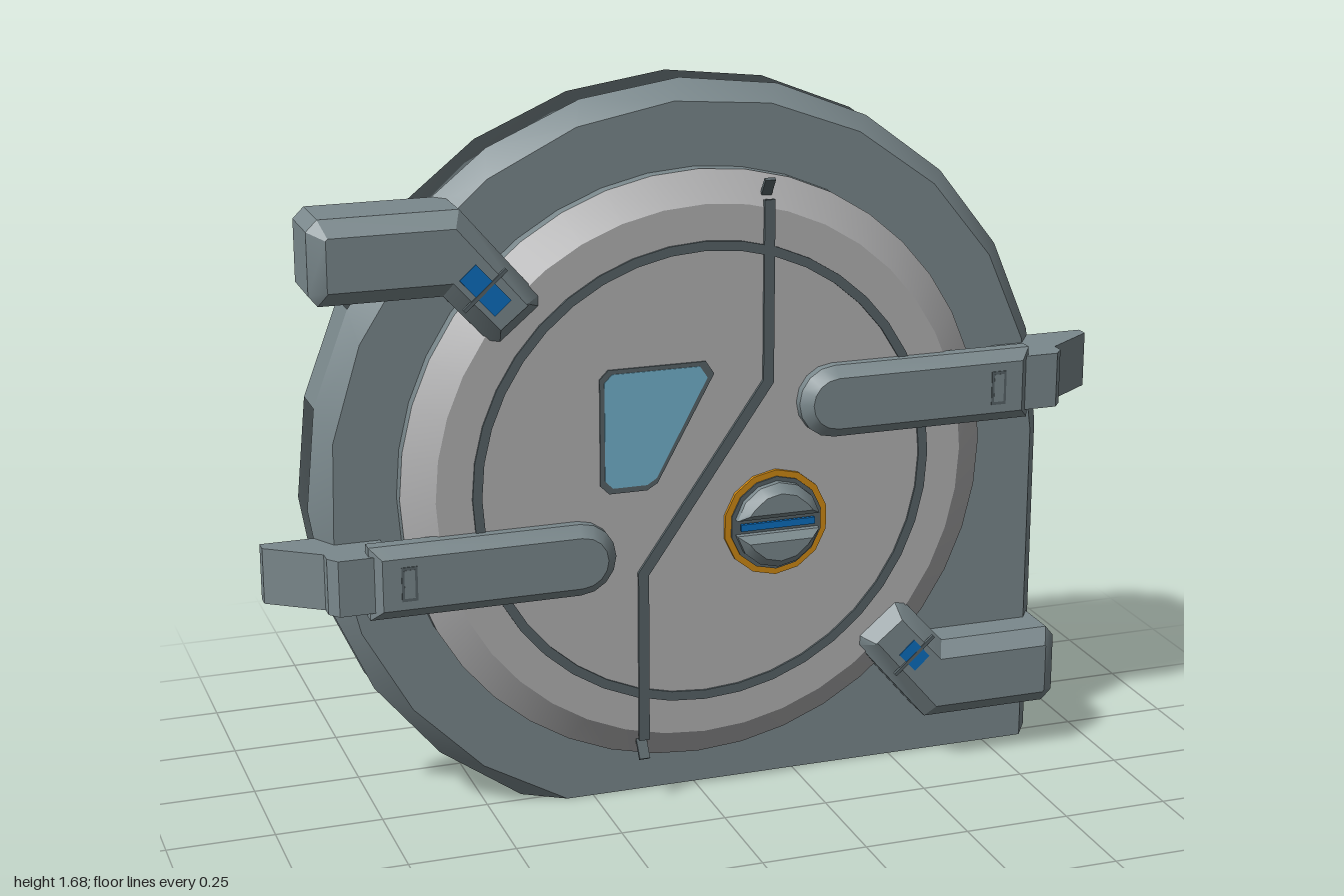
import * as THREE from 'three';
import { toCreasedNormals } from 'three/addons/utils/BufferGeometryUtils.js';

const CY = 0.79; // height of the door centre

function mat(name, color) {
  const m = new THREE.MeshStandardMaterial({ color, side: THREE.DoubleSide });
  m.name = name;
  return m;
}

function shapeOf(pts) {
  return new THREE.Shape(pts.map(([x, y]) => new THREE.Vector2(x, y)));
}

// Bevelled prism standing between z0 and z1, bevelled on the front edge
function prism(pts, z0, z1, bevel) {
  const g = new THREE.ExtrudeGeometry(shapeOf(pts), {
    depth: z1 - z0 - bevel, bevelEnabled: bevel > 0, bevelSize: bevel,
    bevelThickness: bevel, bevelOffset: -bevel, bevelSegments: 1, curveSegments: 8,
  });
  g.translate(0, 0, z0);
  // flatten the rear bevel so that the back stays on z0
  const p = g.attributes.position;
  for (let i = 0; i < p.count; i++) if (p.getZ(i) < z0) p.setZ(i, z0);
  return toCreasedNormals(g, 0.5);
}

// Surface turned about the z axis from [radius, z] points
function turned(profile, sides = 40) {
  const g = new THREE.LatheGeometry(profile.map(([r, z]) => new THREE.Vector2(r, z)), sides);
  g.rotateX(Math.PI / 2);
  // mirror y keeps the z sense of the profile
  return toCreasedNormals(g, 0.5);
}

// Frame outline: a circle with a square lower corner and a flat base
function outline(r) {
  const pts = [[r, 0], [r, 0.69]];
  const end = Math.PI + Math.asin(CY / r);
  for (let i = 0; i <= 16; i++) {
    const a = end * i / 16;
    pts.push([r * Math.cos(a), Math.max(0, CY + r * Math.sin(a))]);
  }
  return pts;
}

// Strip between two outlines at different depths, limited to chosen segments
function band(a, za, b, zb, keep = () => true) {
  const v = [];
  const n = a.length;
  for (let i = 0; i < n; i++) {
    if (!keep(i)) continue;
    const j = (i + 1) % n;
    const A = [...a[i], za], B = [...a[j], za], C = [...b[j], zb], D = [...b[i], zb];
    v.push(...A, ...D, ...C, ...A, ...C, ...B);
  }
  const g = new THREE.BufferGeometry();
  g.setAttribute('position', new THREE.Float32BufferAttribute(v, 3));
  g.computeVertexNormals();
  return toCreasedNormals(g, 0.4);
}

function plateWithHole(pts, r, z, back) {
  const s = shapeOf(pts);
  s.holes.push(new THREE.Path().absarc(0, CY, r, 0, Math.PI * 2, true));
  const g = new THREE.ShapeGeometry(s, 20);
  if (back) { // face the rear
    g.scale(-1, 1, 1);
    g.rotateY(Math.PI);
    g.scale(1, 1, 1);
    const idx = g.index.array;
    for (let i = 0; i < idx.length; i += 3) [idx[i], idx[i + 1]] = [idx[i + 1], idx[i]];
    g.computeVertexNormals();
  }
  g.translate(0, 0, z);
  return g;
}

export function createModel() {
  const steel = mat('blue grey steel', 0x7b898d);
  const dark = mat('dark grey trim', 0x586468);
  const light = mat('light grey panel', 0xb3b3b4);
  const blue = mat('blue light', 0x0b6fc0);
  const glass = mat('pale blue glass', 0x74b4cf);
  const orange = mat('orange ring', 0xd08a14);

  const model = new THREE.Group();
  const add = (name, geo, material, parent = model) => {
    const m = new THREE.Mesh(geo, material);
    m.name = name;
    parent.add(m);
    return m;
  };

  // Frame: front and back plates with an open channel between them
  const outer = outline(0.89), inner = outline(0.85);
  const noBase = (i) => i !== outer.length - 1;
  add('frameFront', plateWithHole(inner, 0.70, 0.03, false), steel);
  add('frameFrontBevel', band(inner, 0.03, outer, -0.03), steel);
  add('frameBack', plateWithHole(inner, 0.74, -0.155, true), steel);
  add('frameBackBevel', band(outer, -0.13, inner, -0.155, noBase), steel);
  add('frameSideWalls', band(outer, -0.03, outer, -0.13, (i) => i === 0 || i === 12), steel);

  // Everything round is built about the door centre
  const door = new THREE.Group();
  door.name = 'door';
  door.position.y = CY;
  model.add(door);
  add('frameTunnel', turned([[0.74, -0.155], [0.68, -0.125], [0.68, -0.03], [0.70, 0.03]]), steel, door);
  add('doorBack', turned([[0, -0.03], [0.675, -0.03], [0.70, 0.03], [0.70, 0.06]]), steel, door);
  add('doorFront', turned([[0.70, 0.06], [0.63, 0.108], [0, 0.108]]), light, door);
  add('doorRing', turned([[0.547, 0.108], [0.547, 0.113], [0.525, 0.113], [0.525, 0.108]]), dark, door);

  // Split line running across the door
  const w = 0.0125;
  const seam = [[0.15, 0.69], [0.15, 0.21], [-0.15, -0.22], [-0.15, -0.69]];
  add('doorSeam', prism([
    [0.15 - w, 0.63], [0.15 - w, 0.214], [-0.15 - w, -0.216], [-0.15 - w, -0.63],
    [-0.15 + w, -0.63], [-0.15 + w, -0.224], [0.15 + w, 0.206], [0.15 + w, 0.63],
  ], 0.106, 0.115, 0), dark, door);
  // seam ends that follow the sloping rim
  for (const s of [1, -1]) {
    const e = add('seamEnd', new THREE.BoxGeometry(2 * w, 0.078, 0.008), dark, door);
    e.position.set(seam[0][0] * s, 0.645 * s, 0.092);
    e.rotation.x = 0.6 * s;
  }

  // Window, seen from both sides
  const windowOuter = [[-0.25, 0.79], [-0.23, 0.77], [-0.14, 0.77], [-0.115, 0.785],
    [0.02, 1.03], [0, 1.06], [-0.23, 1.06], [-0.25, 1.04]];
  const paneScale = ([x, y]) => [-0.145 + (x + 0.145) * 0.9, 0.935 + (y - 0.935) * 0.92];
  const pane = windowOuter.map(paneScale);
  for (const [z0, z1] of [[0.107, 0.112], [-0.034, -0.029]]) {
    add('windowFrame', prism(windowOuter, z0, z1, 0), dark);
    add('windowPane', prism(pane, z0 - 0.002, z1 + 0.002, 0), glass);
  }

  // Round lock with a slot
  const lock = new THREE.Group();
  lock.name = 'lock';
  lock.position.set(0.17, 0.66, 0);
  model.add(lock);
  add('lockRing', turned([[0.127, 0.108], [0.127, 0.116], [0.108, 0.116]], 14), orange, lock);
  add('lockBase', turned([[0.112, 0.108], [0.112, 0.12], [0, 0.12]], 14), dark, lock);
  for (const s of [0, Math.PI]) {
    const half = [];
    for (let i = 0; i <= 6; i++) {
      const a = 0.18 + (Math.PI - 0.36) * i / 6;
      half.push([0.102 * Math.cos(a), 0.102 * Math.sin(a)]);
    }
    add('lockHalf', prism(half, 0.115, 0.155, 0.02), steel, lock).rotation.z = s;
  }
  add('lockSlot', new THREE.BoxGeometry(0.18, 0.016, 0.008), blue, lock).position.z = 0.129;

  // Latch arm, bracket and elbow clamp, repeated half a turn round the door
  const arm = [];
  for (let i = 0; i <= 8; i++) {
    const a = Math.PI / 2 + Math.PI * i / 8;
    arm.push([0.305 + 0.085 * Math.cos(a), 0.157 + 0.085 * Math.sin(a)]);
  }
  arm.push([0.79, 0.072], [0.79, 0.242]);
  const elbow = [[0.87, -0.665], [0.895, -0.64], [0.895, -0.5], [0.875, -0.475], [0.6, -0.475],
    [0.5, -0.365], [0.475, -0.36], [0.385, -0.435], [0.385, -0.46], [0.56, -0.665]];
  for (const turn of [0, Math.PI]) {
    const set = new THREE.Group();
    set.name = turn ? 'rightLatchSet' : 'leftLatchSet';
    set.position.y = 0.785;
    set.rotation.z = turn;
    model.add(set);
    add('latchArm', prism(arm, 0.10, 0.155, 0.025), steel, set);

    // bracket side profile, drawn in x and z
    const bracket = new THREE.ExtrudeGeometry(shapeOf([[0.74, -0.03], [1, -0.03], [1, 0],
      [0.88, 0.085], [0.88, 0.115], [0.86, 0.14], [0.74, 0.14]]), { depth: 0.13, bevelEnabled: false });
    bracket.rotateX(Math.PI / 2);
    bracket.translate(0, 0.222, 0);
    add('latchBracket', bracket, steel, set);

    add('armSlotEdge', new THREE.BoxGeometry(0.036, 0.08, 0.006), dark, set).position.set(0.705, 0.157, 0.154);
    add('armSlot', new THREE.BoxGeometry(0.024, 0.066, 0.006), steel, set).position.set(0.705, 0.157, 0.1555 - 0.001);

    add('elbowClamp', prism(elbow, -0.03, 0.14, 0.035), steel, set);
    const mark = new THREE.Group();
    mark.name = 'clampLight';
    mark.position.set(0.515, -0.49, 0.14);
    mark.rotation.z = -0.84;
    set.add(mark);
    const long = turn ? 0.115 : 0.06;
    add('lightStrip', new THREE.BoxGeometry(long, 0.05, 0.006), blue, mark);
    add('clampGroove', new THREE.BoxGeometry(0.008, 0.13, 0.008), dark, mark);
  }
  return model;
}
